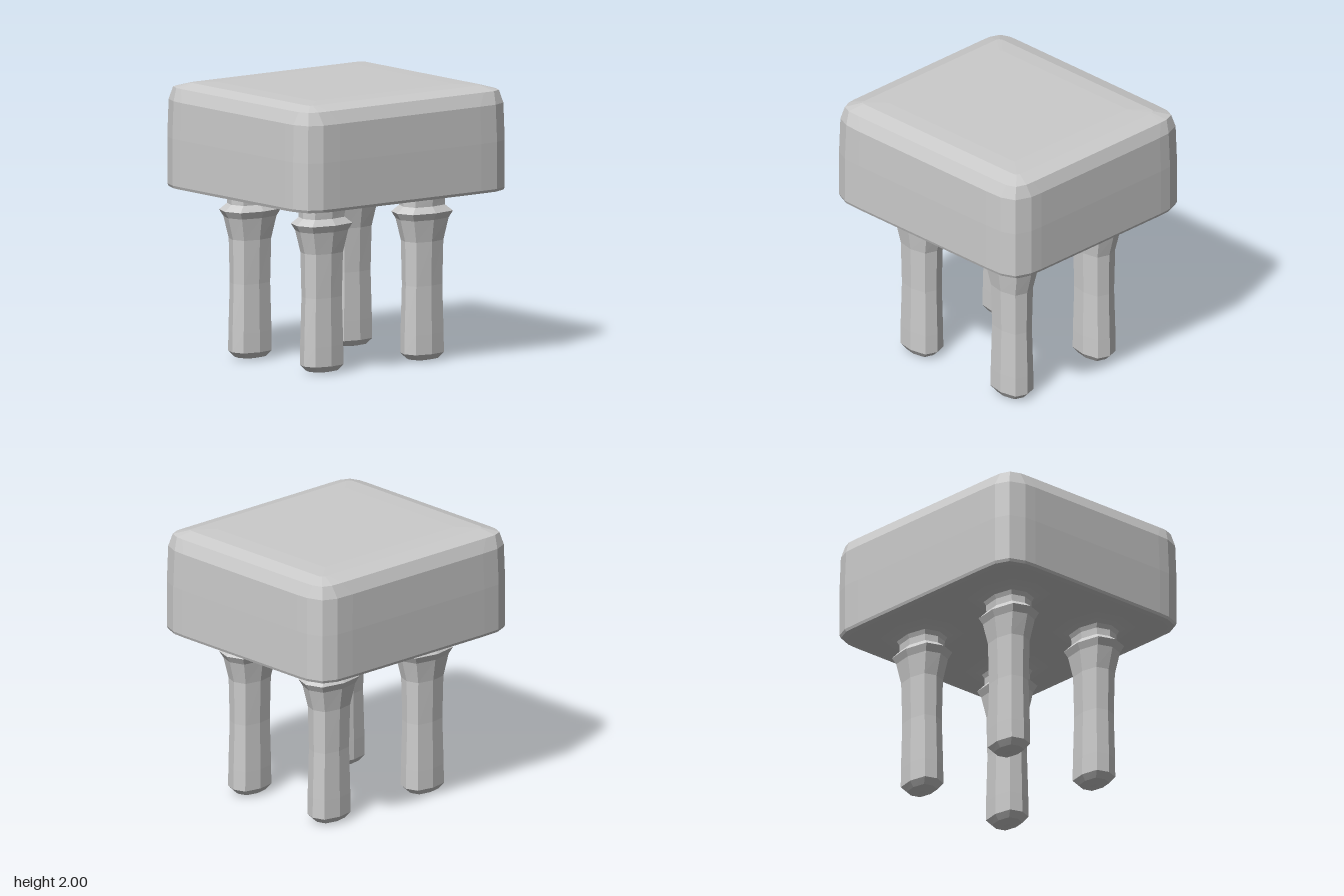
import * as THREE from 'three';

const material = new THREE.MeshStandardMaterial({ color: 0xcccccc, flatShading: true });

// Skin a stack of closed rings (bottom to top) and cap both ends.
function loft(name, rings) {
  const n = rings[0].length, pos = [], idx = [];
  rings.forEach(r => r.forEach(p => pos.push(...p)));
  for (let r = 0; r < rings.length - 1; r++) {
    for (let i = 0; i < n; i++) {
      const a = r * n + i, b = r * n + (i + 1) % n;
      idx.push(a, a + n, b, b, a + n, b + n);
    }
  }
  const bottom = rings.length * n, top = bottom + 1, last = bottom - n;
  pos.push(0, rings[0][0][1], 0, 0, rings.at(-1)[0][1], 0);
  for (let i = 0; i < n; i++) {
    const j = (i + 1) % n;
    idx.push(bottom, i, j, top, last + j, last + i);
  }
  const indexed = new THREE.BufferGeometry();
  indexed.setAttribute('position', new THREE.Float32BufferAttribute(pos, 3));
  indexed.setIndex(idx);
  const geometry = indexed.toNonIndexed();
  geometry.computeVertexNormals();
  const mesh = new THREE.Mesh(geometry, material);
  mesh.name = name;
  return mesh;
}

// Mirror one quadrant of [x, z] points into a full ring at height y.
function mirrorRing(q, y) {
  const back = [...q].reverse();
  return [
    ...q.map(([x, z]) => [x, y, z]),
    ...back.map(([x, z]) => [-x, y, z]),
    ...q.map(([x, z]) => [-x, y, -z]),
    ...back.map(([x, z]) => [x, y, -z]),
  ];
}

// Rounded-rectangle ring; s scales the corner softening.
function seatRing([y, X, Z, s]) {
  return mirrorRing([
    [X, Z - 0.26 * s], [X - 0.005 * s, Z - 0.165 * s], [X - 0.05 * s, Z - 0.05 * s],
    [X - 0.155 * s, Z - 0.005 * s], [X - 0.3 * s, Z],
  ], y);
}

// Eight-sided ring with slightly squared corners.
function legRing([y, a, b]) {
  return [[1, 0], [0.8, 0.78], [0, 1], [-0.8, 0.78], [-1, 0], [-0.8, -0.78], [0, -1], [0.8, -0.78]]
    .map(([x, z]) => [x * a, y, z * b]);
}

export function createModel() {
  const model = new THREE.Group();
  model.name = 'stool';

  // Thick cushion: crisp underside, softened top edge
  const seatProfile = [ // y, half width, half depth, corner softness
    [1.233, 0.9, 0.82, 0.9], [1.24, 0.938, 0.858, 1], [1.26, 0.945, 0.865, 1],
    [1.6, 0.945, 0.865, 1], [1.87, 0.938, 0.858, 1], [1.962, 0.9, 0.816, 0.65],
    [1.994, 0.79, 0.7, 0.2], [2, 0.64, 0.57, 0.1],
  ];
  model.add(loft('seat', seatProfile.map(seatRing)));

  // Four turned legs with a collar, neck and flared top
  const legProfile = [ // y, half width, half depth
    [0, 0.03, 0.02], [0.013, 0.115, 0.085], [0.055, 0.16, 0.115], [0.2, 0.158, 0.114],
    [0.55, 0.148, 0.107], [0.87, 0.154, 0.115], [1.03, 0.196, 0.138], [1.08, 0.228, 0.161],
    [1.125, 0.168, 0.122], [1.175, 0.168, 0.125], [1.205, 0.185, 0.14],
    [1.222, 0.23, 0.18], [1.236, 0.31, 0.26],
  ];
  for (const [side, x] of [['Left', 1], ['Right', -1]]) {
    for (const [end, z] of [['front', 1], ['back', -1]]) {
      const leg = loft(`${end}${side}Leg`, legProfile.map(legRing));
      leg.position.set(0.457 * x, 0, 0.415 * z);
      model.add(leg);
    }
  }
  return model;
}
